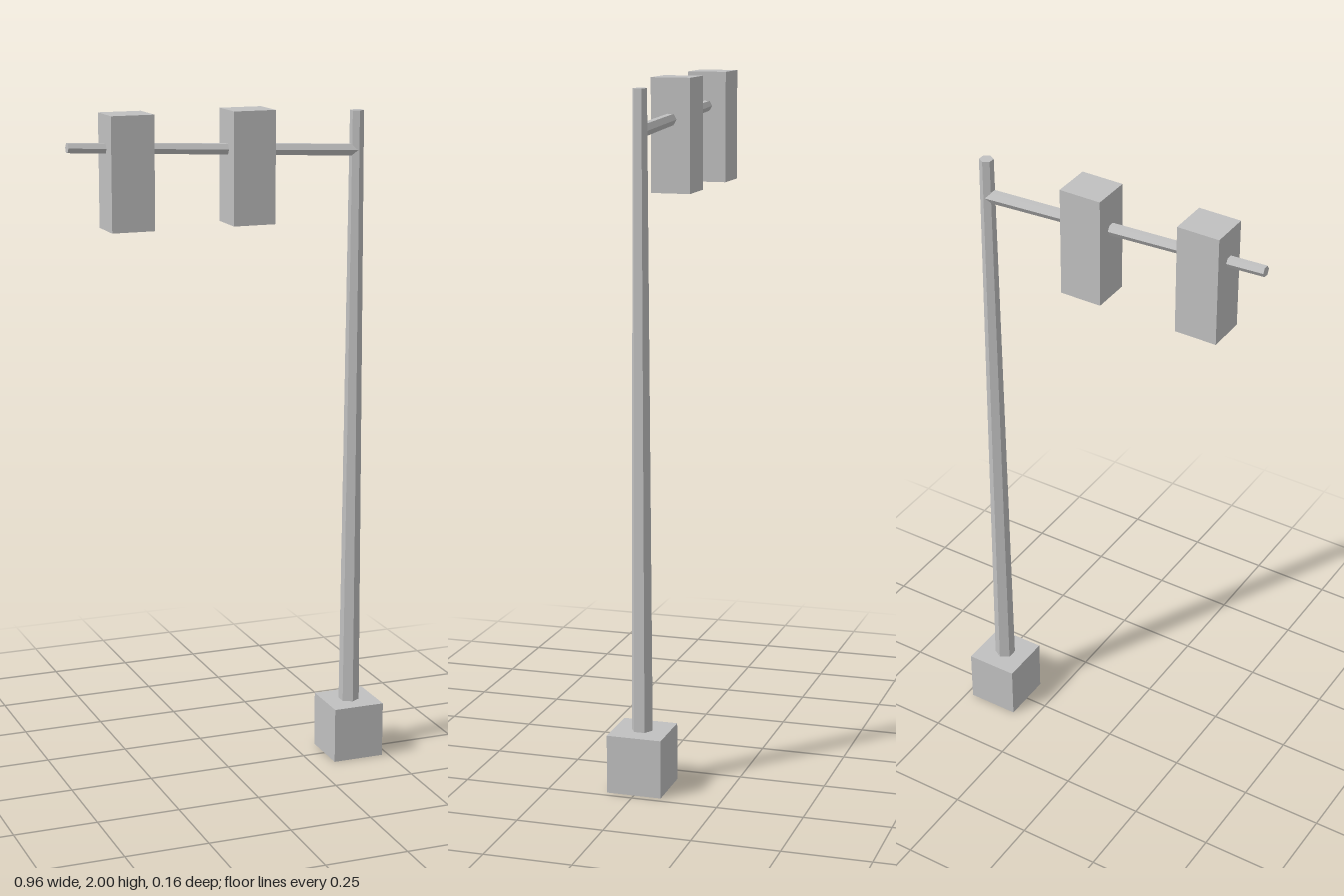
import * as THREE from 'three';

export function createModel() {
  const model = new THREE.Group();
  const gray = new THREE.MeshStandardMaterial({ color: 0xc0c0c0, flatShading: true });
  gray.name = 'lightGray';

  function add(name, geometry, x, y, z = 0) {
    const mesh = new THREE.Mesh(geometry, gray);
    mesh.name = name;
    mesh.position.set(x, y, z);
    model.add(mesh);
    return mesh;
  }

  // Footing block
  add('base', new THREE.BoxGeometry(0.16, 0.17, 0.16), 0.4, 0.085);

  // Tapered hexagonal pole, corners towards front and back
  const poleBottom = 0.16, poleTop = 1.985;
  add('pole', new THREE.CylinderGeometry(0.0205, 0.0315, poleTop - poleBottom, 6),
    0.4, (poleTop + poleBottom) / 2);

  // Tapered hexagonal arm, rising slightly towards its free end
  const root = new THREE.Vector3(0.4, 1.87, 0);
  const tip = new THREE.Vector3(-0.48, 1.911, 0);
  const along = tip.clone().sub(root);
  const middle = root.clone().add(tip).multiplyScalar(0.5);
  const arm = add('arm', new THREE.CylinderGeometry(0.0155, 0.0195, along.length(), 6), middle.x, middle.y);
  arm.rotation.z = Math.atan2(-along.x, along.y);

  // Signal housings hung on the arm
  [['outerSignalBox', -0.306], ['innerSignalBox', 0.059]].forEach(([name, x]) =>
    add(name, new THREE.BoxGeometry(0.127, 0.326, 0.116), x, 1.837));

  return model;
}
